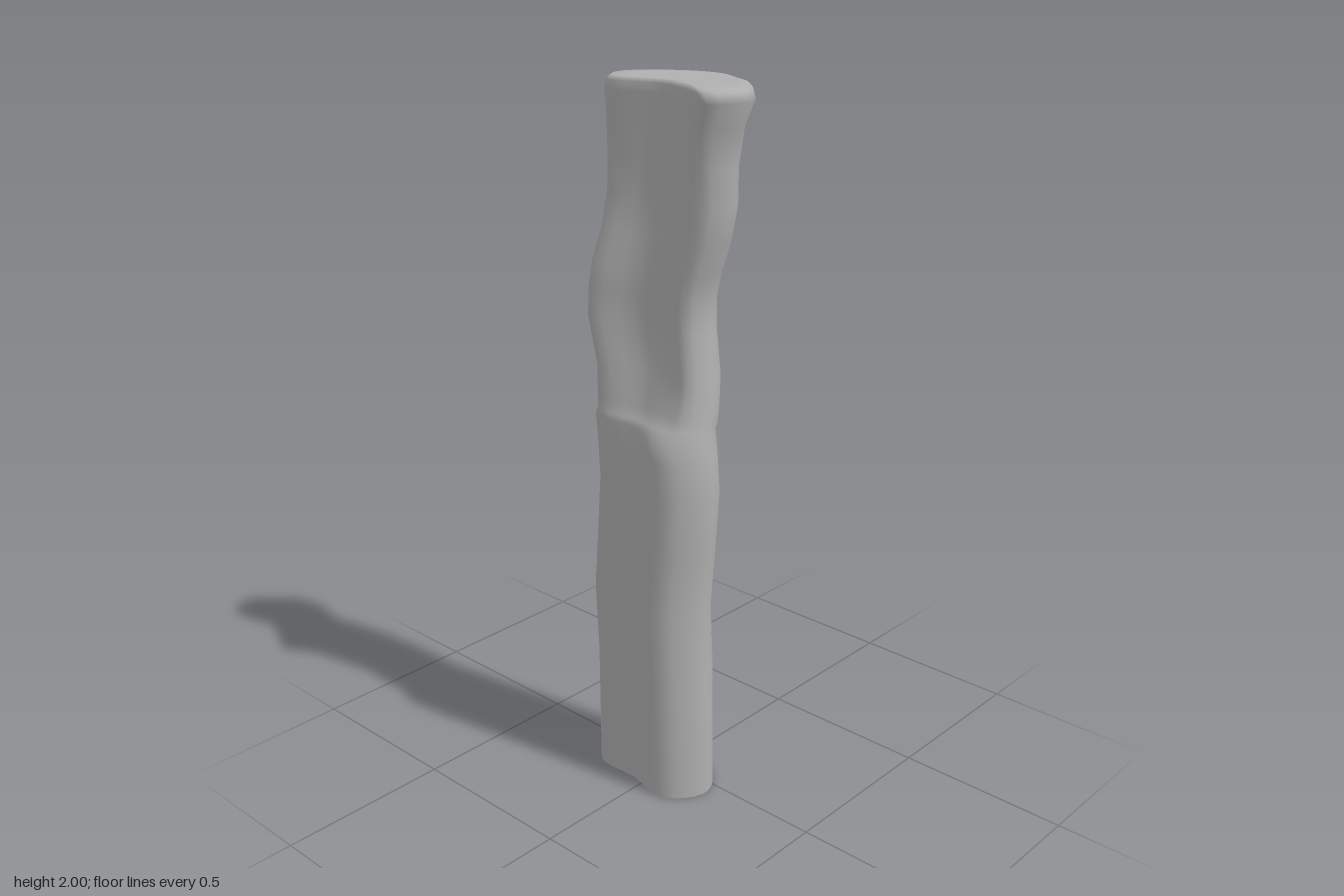
import * as THREE from 'three';

// Kidney-shaped cross-sections: [u across the width, z], left end -> front -> right end -> back
const BASE = [[0, .05], [.03, .105], [.13, .13], [.46, .128], [.72, .153], [.88, .128],
  [1, .05], [.93, -.015], [.75, -.065], [.5, -.09], [.22, -.075], [.05, -.02]];
const BEND = [[0, .03], [.04, .08], [.14, .113], [.45, .065], [.72, .06], [.92, .07],
  [1, .01], [.93, -.05], [.72, -.085], [.5, -.1], [.2, -.1], [.05, -.035]];
const NECK = [[0, 0], [.03, .04], [.13, .065], [.4, .04], [.7, .055], [.9, .07],
  [1, 0], [.92, -.06], [.72, -.1], [.5, -.11], [.25, -.1], [.06, -.05]];
const RIM = [[0, -.02], [.01, .03], [.12, .075], [.45, .038], [.7, .07], [.9, .105],
  [1, 0], [.89, -.08], [.72, -.12], [.55, -.155], [.33, -.145], [.1, -.08]];

// Stations up the post: y, left x, right x, lower profile, upper profile, blend, dent depth
const ROWS = [
  [0, -.205, .17, BASE, BASE, 0, 0],
  [.38, -.205, .165, BASE, BASE, 0, 0],
  [.57, -.215, .155, BASE, BASE, 0, 0],
  [.75, -.2, .17, BASE, BASE, 0, 0],
  [.92, -.187, .183, BASE, BASE, 0, 0],
  [1.03, -.193, .174, BASE, BASE, 0, .008],
  [1.1, -.2, .165, BASE, BASE, 0, .03],
  [1.115, -.2, .164, BASE, BEND, .3, .025],
  [1.15, -.203, .162, BASE, BEND, .5, 0],
  [1.24, -.213, .156, BASE, BEND, .85, 0],
  [1.37, -.25, .137, BEND, BEND, 0, 0],
  [1.45, -.244, .136, BEND, BEND, 0, 0],
  [1.52, -.235, .152, BEND, NECK, .15, 0],
  [1.61, -.217, .182, BEND, NECK, .65, 0],
  [1.7, -.21, .2, NECK, NECK, 0, 0],
  [1.8, -.205, .2, NECK, RIM, .1, 0],
  [1.9, -.206, .217, NECK, RIM, .6, 0],
  [1.965, -.21, .25, RIM, RIM, 0, 0],
  [1.99, -.204, .24, RIM, RIM, 0, 0],
];
const SIDES = 36;

// Smooth closed loop of points for one station
function section([y, left, right, low, high, t, dent]) {
  const points = low.map(([u, z], k) => {
    const mixU = u + (high[k][0] - u) * t;
    let mixZ = z + (high[k][1] - z) * t;
    if (k === 10) mixZ += dent;
    if (k === 11) mixZ += dent * .4;
    return new THREE.Vector3(left + (right - left) * mixU, y, mixZ);
  });
  const curve = new THREE.CatmullRomCurve3(points, true, 'centripetal');
  return Array.from({ length: SIDES }, (_, j) => {
    const p = curve.getPoint(j / SIDES);
    p.x = THREE.MathUtils.clamp(p.x, left, right);
    return p;
  });
}

export function createModel() {
  const model = new THREE.Group();
  const grey = new THREE.MeshStandardMaterial({ color: 0xb0b0b0, side: THREE.DoubleSide });
  grey.name = 'plain grey';

  const loops = ROWS.map(section);
  const centre = new THREE.Vector3(.005, 2, -.045);
  // Rounded shoulder and inner rings of the closed top
  for (const s of [.93, .75, .4]) {
    loops.push(loops[ROWS.length - 1].map(p => {
      const q = centre.clone().lerp(p, s);
      q.y = 2;
      return q;
    }));
  }

  const positions = loops.flat().concat(centre).flatMap(p => [p.x, p.y, p.z]);
  const index = [];
  for (let i = 0; i < loops.length; i++) {
    for (let j = 0; j < SIDES; j++) {
      const k = (j + 1) % SIDES;
      const a = i * SIDES + j, b = i * SIDES + k;
      if (i < loops.length - 1) index.push(a, b, a + SIDES, b, b + SIDES, a + SIDES);
      else index.push(a, b, loops.length * SIDES);
    }
  }
  const geometry = new THREE.BufferGeometry();
  geometry.setAttribute('position', new THREE.Float32BufferAttribute(positions, 3));
  geometry.setIndex(index);
  geometry.computeVertexNormals();

  // Hollow post, open at the foot
  const post = new THREE.Mesh(geometry, grey);
  post.name = 'post';
  model.add(post);
  return model;
}
